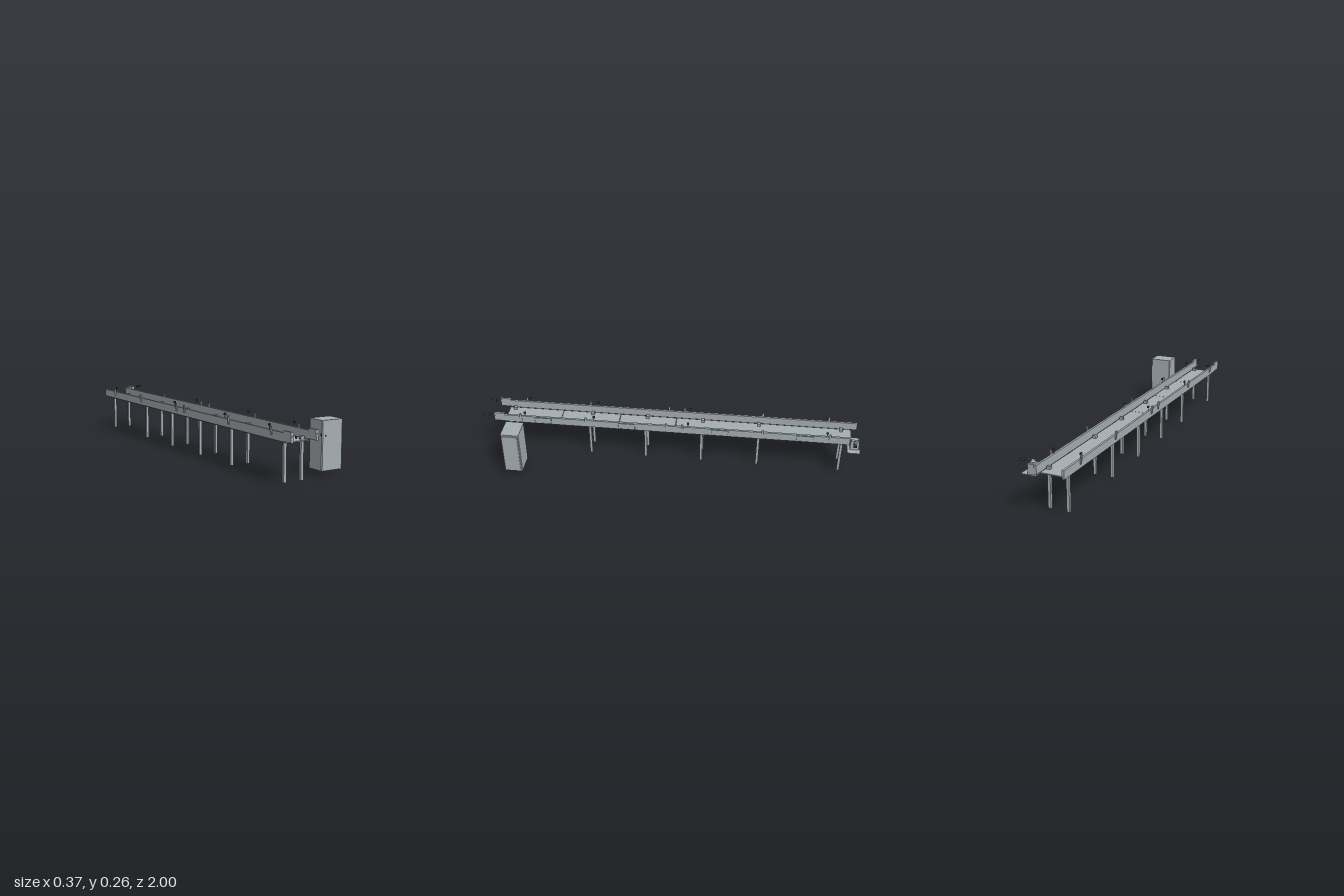
import * as THREE from 'three';

export function createModel() {
  const root = new THREE.Group();
  root.name = 'conveyor';
  const mat = (name, color) => Object.assign(new THREE.MeshStandardMaterial({ color }), { name });
  const steel = mat('steelGrey', 0xa6aeb3);
  const dark = mat('darkGrey', 0x3a444d);
  const teal = mat('teal', 0x3f8294);

  // Box given by its lower and upper limits on each axis
  function box(name, x0, x1, y0, y1, z0, z1, m = steel) {
    const mesh = new THREE.Mesh(new THREE.BoxGeometry(x1 - x0, y1 - y0, z1 - z0), m);
    mesh.position.set((x0 + x1) / 2, (y0 + y1) / 2, (z0 + z1) / 2);
    mesh.name = name;
    root.add(mesh);
    return mesh;
  }

  const centre = -0.104;

  // Deck in sections with narrow seams
  const seams = [-0.96, -0.03, 0.275, 0.59, 0.89];
  for (let i = 0; i < 4; i++) {
    box('deckSection', -0.166, -0.042, 0.181, 0.186, seams[i] + 0.001, seams[i + 1] - 0.001);
  }

  // Legs and the mounting blocks above them
  for (const z of [-0.907, -0.474, -0.173, 0.126, 0.426, 0.857]) {
    for (const x of [-0.15, -0.057]) {
      box('leg', x - 0.007, x + 0.007, 0, 0.182, z - 0.007, z + 0.007);
      box('mountBlock', x - 0.009, x + 0.009, 0.186, 0.2, z - 0.008, z + 0.008);
    }
  }

  // Both side rails with their end pieces, brackets and sensors
  for (const s of [-1, 1]) {
    // span across the rail, measured outward from the centre line
    const across = (name, a, b, y0, y1, z0, z1, m) => {
      const p = centre + s * a, q = centre + s * b;
      return box(name, Math.min(p, q), Math.max(p, q), y0, y1, z0, z1, m);
    };
    across('sideRail', 0.062, 0.073, 0.187, 0.228, -0.99, 0.885);
    across('railEnd', 0.062, 0.073, 0.19, 0.238, 0.885, 0.942);
    across('railEndPlate', 0.06, 0.075, 0.21, 0.237, 0.936, 0.942);

    // Pivot on the front end plate
    const pivot = new THREE.Mesh(new THREE.CylinderGeometry(0.003, 0.003, 0.004, 16), steel);
    pivot.rotation.x = Math.PI / 2;
    pivot.position.set(centre + s * 0.0675, 0.219, 0.943);
    pivot.name = 'endPivot';
    root.add(pivot);

    // Small detectors ahead of the rail
    across('endDetector', 0.064, 0.07, 0.214, 0.224, 0.966, 0.971, dark);
    across('endReflector', 0.066, 0.07, 0.216, 0.222, 0.996, 1.0, dark);

    // Outer brackets with a short stem
    for (const z of [-0.842, -0.493, -0.072, 0.012, 0.442, 0.795]) {
      across('bracketStem', 0.073, 0.077, 0.205, 0.238, z - 0.006, z + 0.006);
      across('bracketHead', 0.073, 0.08, 0.222, 0.246, z - 0.005, z + 0.005);
    }
    // Dark sensors held over the rail
    for (const z of [-0.828, -0.102, 0.4, 0.773]) {
      across('sensorPost', 0.066, 0.069, 0.228, 0.245, z - 0.002, z + 0.002);
      across('sensor', 0.064, 0.071, 0.243, 0.253, z - 0.006, z + 0.006, dark);
    }
  }

  // Framed access panels on the outer left rail
  for (const z of [-0.715, -0.27, 0.225, 0.675]) {
    const x = centre + 0.073;
    box('accessPanel', x, x + 0.002, 0.189, 0.225, z - 0.045, z + 0.045);
    for (const e of [-1, 1]) {
      const y = 0.207 + e * 0.017;
      const w = z + e * 0.044;
      box('panelTrim', x, x + 0.003, y - 0.001, y + 0.001, z - 0.045, z + 0.045, teal);
      box('panelTrim', x, x + 0.003, 0.19, 0.224, w - 0.001, w + 0.001, teal);
    }
  }

  // Drive unit on a shelf at the rear
  box('driveShelf', -0.041, 0.033, 0.18, 0.183, -0.997, -0.932);
  box('driveHousing', -0.03, 0.002, 0.183, 0.23, -0.99, -0.945);
  box('driveCap', -0.03, -0.006, 0.23, 0.238, -0.985, -0.962);
  box('driveCap', -0.016, 0.002, 0.23, 0.238, -0.962, -0.948);
  box('driveSensor', 0.026, 0.05, 0.232, 0.241, -0.972, -0.957, dark);

  // Control cabinet with chamfered uprights
  const [x0, x1, z0, z1, c] = [0.064, 0.182, 0.753, 0.848, 0.004];
  const plan = new THREE.Shape([
    [x0 + c, -z1], [x1 - c, -z1], [x1, -z1 + c], [x1, -z0 - c],
    [x1 - c, -z0], [x0 + c, -z0], [x0, -z0 - c], [x0, -z1 + c],
  ].map(([x, y]) => new THREE.Vector2(x, y)));
  const cabinet = new THREE.Mesh(
    new THREE.ExtrudeGeometry(plan, { depth: 0.233, bevelEnabled: false }), steel);
  cabinet.rotation.x = -Math.PI / 2;
  cabinet.position.y = 0.024;
  cabinet.name = 'cabinet';
  root.add(cabinet);
  box('cabinetDoor', 0.182, 0.186, 0.033, 0.248, 0.76, 0.841);

  return root;
}
